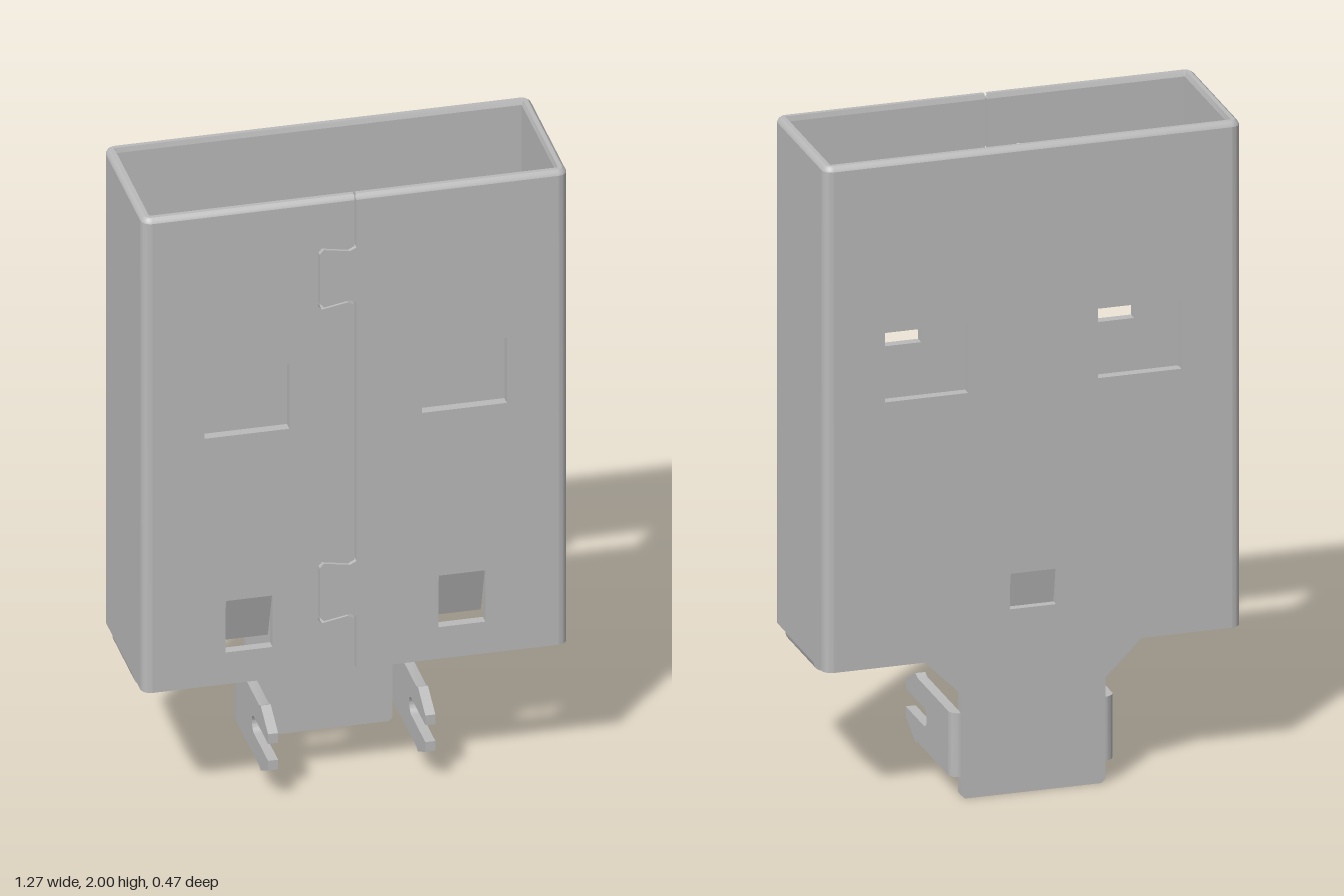
import * as THREE from 'three';
import { toCreasedNormals, mergeVertices } from 'three/addons/utils/BufferGeometryUtils.js';

const HX = 0.636, HZ = 0.236, T = 0.03;   // outer half sizes and sheet thickness
const IX = HX - T, IZ = HZ - T;
const BOTTOM = 0.435, RIM = 1.985, TOP = 2;

export function createModel() {
  const group = new THREE.Group();
  const steel = new THREE.MeshStandardMaterial({ color: 0xbababa });
  steel.name = 'steel grey';

  const add = (name, geometry) => {
    const mesh = new THREE.Mesh(toCreasedNormals(geometry, 0.6), steel);
    mesh.name = name;
    group.add(mesh);
  };
  const outline = (pts) => new THREE.Shape(pts.map(([a, b]) => new THREE.Vector2(a, b)));
  const rect = (x0, x1, y0, y1) => [[x0, y0], [x1, y0], [x1, y1], [x0, y1]];
  const extrude = (shape, depth) =>
    new THREE.ExtrudeGeometry(shape, { depth, bevelEnabled: false, curveSegments: 8 });
  // Sheet in the xy plane from z upwards
  const sheetXY = (shape, z, d = T) => extrude(shape, d).translate(0, 0, z);
  // Shape given as (z, y), extruded along x from x0 to x0 + d
  const sheetZY = (shape, x0, d = T) => extrude(shape, d).rotateY(-Math.PI / 2).translate(x0 + d, 0, 0);
  // Shape given as (x, z), extruded along y from y0 to y1
  const sheetXZ = (shape, y0, y1) => extrude(shape, y1 - y0).rotateX(Math.PI / 2).translate(0, y1, 0);
  // Solid quarter disc pointing to the signs (sx, sy)
  const quarter = (cx, cy, sx, sy) => {
    const pts = [[cx, cy]];
    for (let i = 0; i <= 8; i++) {
      const a = i * Math.PI / 16;
      pts.push([cx + sx * T * Math.cos(a), cy + sy * T * Math.sin(a)]);
    }
    return outline(pts);
  };
  const cut = (shape, ...holes) => {
    holes.forEach((h) => shape.holes.push(outline(h)));
    return shape;
  };
  const windowHole = (s) => rect(s * 0.325 - 0.127, s * 0.325 + 0.127, 1.255, 1.47);
  const latchX = 0.318;

  // Dovetail seam down the front, g is the half gap
  const seam = (g) => {
    const pts = [[g, RIM]], h = 0.098 - g;
    for (const yc of [1.737, 0.7]) {
      const half = [[0, h - 0.004], [-0.02, h - 0.014], [-0.098, h], [-0.11, h - 0.014]];
      half.forEach(([x, y]) => pts.push([x + g, yc + y]));
      half.reverse().forEach(([x, y]) => pts.push([x + g, yc - y]));
    }
    pts.push([g, BOTTOM]);
    return pts;
  };
  for (const s of [-1, 1]) {
    const panel = outline([...seam(s * 0.003), [s * IX, BOTTOM], [s * IX, RIM]]);
    cut(panel, windowHole(s), rect(s * latchX - 0.07, s * latchX + 0.07, 0.54, 0.71));
    add(s > 0 ? 'frontPanelLeft' : 'frontPanelRight', sheetXY(panel, IZ));
  }

  // Back wall continuing down into the tongue
  const back = outline([
    [-IX, RIM], [-IX, BOTTOM], [-0.33, BOTTOM], [-0.22, 0.325], [-0.22, 0.012], [-0.208, 0],
    [0.208, 0], [0.22, 0.012], [0.22, 0.325], [0.33, BOTTOM], [IX, BOTTOM], [IX, RIM],
  ]);
  add('backPanel', sheetXY(cut(back, windowHole(-1), windowHole(1), rect(-0.07, 0.07, 0.57, 0.68)), -HZ));

  for (const s of [-1, 1]) {
    const side = s > 0 ? 'Left' : 'Right';
    // Side wall and its rounded corners
    add('sideWall' + side, sheetZY(outline(rect(-IZ, IZ, BOTTOM, RIM)), s > 0 ? IX : -HX));
    for (const t of [-1, 1])
      add('corner' + side + (t > 0 ? 'Front' : 'Back'), sheetXZ(quarter(s * IX, t * IZ, s, t), BOTTOM, RIM));

    // Bottom flap folded inward from the side wall
    const w = 0.132, x0 = 0.537;
    add('bottomFlap' + side, sheetXZ(outline([
      [s * IX, -w], [s * (x0 + 0.02), -w], [s * (x0 + 0.006), -w + 0.006], [s * x0, -w + 0.02],
      [s * x0, w - 0.02], [s * (x0 + 0.006), w - 0.006], [s * (x0 + 0.02), w], [s * IX, w],
    ]), BOTTOM - T, BOTTOM));
    add('flapBend' + side, sheetXY(quarter(s * IX, BOTTOM, s, -1), -w, 2 * w));

    // Forked leg bent forward from the tongue
    const leg = new THREE.Shape();
    leg.moveTo(-IZ, 0.068);
    leg.lineTo(0.08, 0.068);
    leg.lineTo(0.1, 0.06);
    leg.lineTo(0.19, 0.107);
    leg.lineTo(0.19, 0.139);
    leg.lineTo(0.022, 0.139);
    leg.absarc(0.022, 0.167, 0.028, -Math.PI / 2, Math.PI / 2, true);
    leg.lineTo(0.19, 0.195);
    leg.lineTo(0.19, 0.227);
    leg.lineTo(0.1, 0.274);
    leg.lineTo(0.08, 0.266);
    leg.lineTo(-IZ, 0.266);
    add('forkedLeg' + side, sheetZY(leg, s > 0 ? 0.22 : -0.25));
    add('legBend' + side, sheetXZ(quarter(s * 0.22, -IZ, s, -1), 0.068, 0.266));

    // Front latch leaning inward towards its lower end
    const latch = outline([[HZ, 0.71], [IZ, 0.71], [0.16, 0.565], [0.187, 0.555]]);
    add('frontLatch' + side, sheetZY(latch, s * latchX - 0.068, 0.136));
  }
  add('backLatch', sheetZY(outline([[-HZ, 0.68], [-IZ, 0.68], [-0.188, 0.577], [-0.217, 0.572]]), -0.068, 0.136));

  // Rounded rim swept around the opening, left open at the seam
  const profile = [[T, RIM], [0, RIM], [0.004, 1.994], [0.012, TOP], [0.025, TOP], [T, RIM]];
  const pos = [], index = [];
  let n = 0;
  for (const [d, y] of profile) {
    const r = T - d, ring = [[0.003, HZ - d]];
    [[1, 1], [1, -1], [-1, -1], [-1, 1]].forEach(([sx, sz], k) => {
      for (let i = 0; i <= 6; i++) {
        const a = Math.PI / 2 - (k + i / 6) * Math.PI / 2;
        ring.push([sx * IX + r * Math.cos(a), sz * IZ + r * Math.sin(a)]);
      }
    });
    ring.push([-0.003, HZ - d]);
    n = ring.length;
    ring.forEach(([x, z]) => pos.push(x, y, z));
  }
  for (let p = 0; p < profile.length - 1; p++)
    for (let i = 0; i < n - 1; i++) {
      const a = p * n + i, b = a + 1, c = a + n, e = c + 1;
      index.push(a, b, c, b, e, c);
    }
  const rim = new THREE.BufferGeometry();
  rim.setAttribute('position', new THREE.Float32BufferAttribute(pos, 3));
  rim.setIndex(index);
  add('rim', mergeVertices(rim));

  return group;
}
